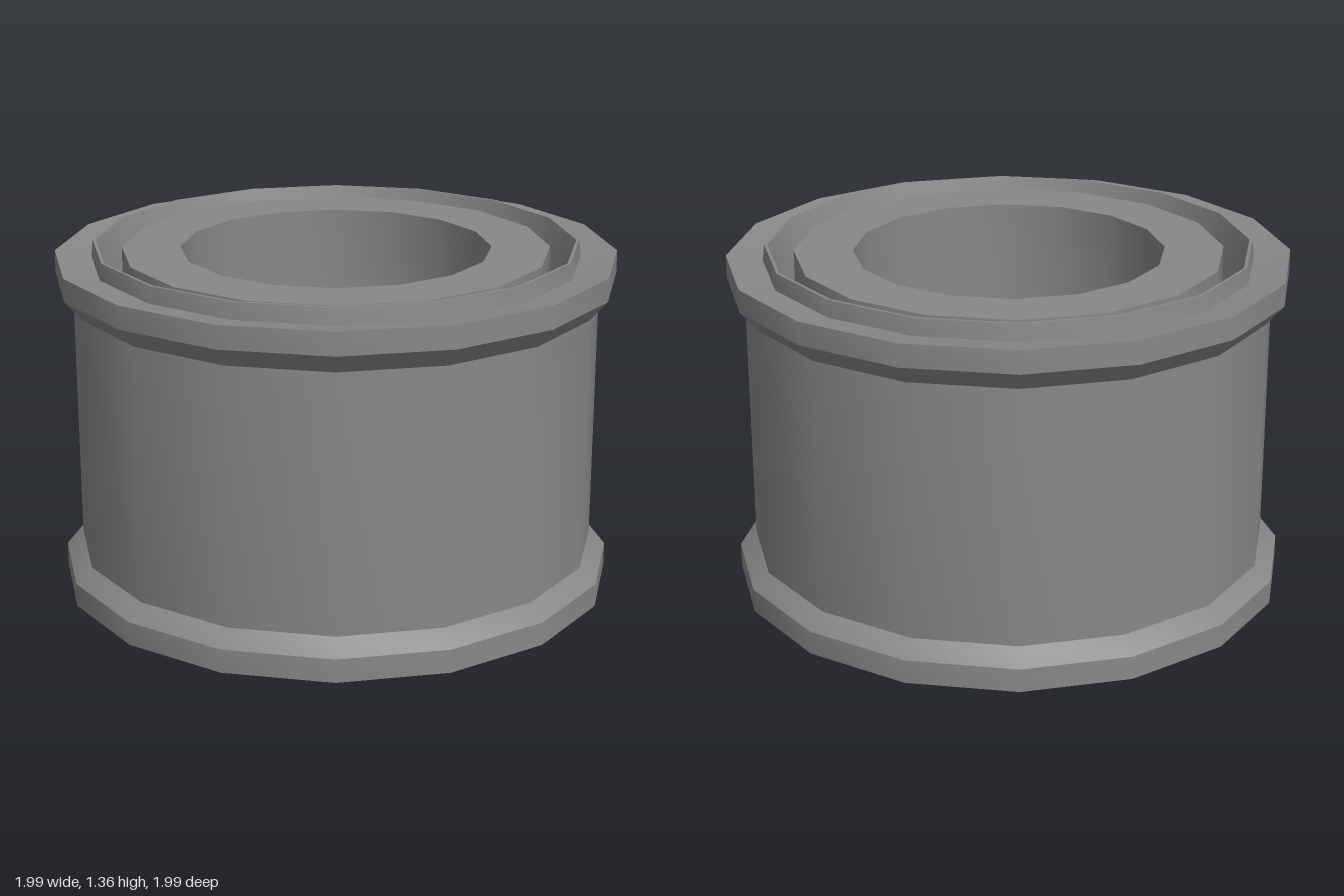
import * as THREE from 'three';
import { toCreasedNormals } from 'three/addons/utils/BufferGeometryUtils.js';

const SIDES = 16;
const START = THREE.MathUtils.degToRad(15);

// Revolves a closed [radius, height] profile, listed counter-clockwise, into a creased solid.
function ring(name, profile, material) {
  const points = [...profile, profile[0]].map(([r, y]) => new THREE.Vector2(r, y));
  const lathe = new THREE.LatheGeometry(points, SIDES, START);
  const mesh = new THREE.Mesh(toCreasedNormals(lathe, 0.45), material);
  mesh.name = name;
  return mesh;
}

export function createModel() {
  const group = new THREE.Group();
  group.name = 'flangedRoller';
  const grey = new THREE.MeshStandardMaterial({ color: 0x888888 });

  // Outer drum with a flange at each end and a funnel-shaped mouth
  group.add(ring('flangedDrum', [
    [0.87, 0.18], [1.005, 0.11],                // dished underside of lower flange
    [1.005, 0.195], [0.945, 0.25],              // lower rim and bevel
    [0.945, 1.172], [1.005, 1.243],             // drum wall, upper bevel
    [1.005, 1.325], [0.875, 1.305],             // upper rim, dished top
    [0.868, 1.364], [0.857, 1.364],             // raised lip
    [0.783, 1.1], [0.783, 0.42],                // upper funnel and inner wall
  ], grey));

  // Inner hub with a flared foot, a stepped bore and a thin web halfway
  group.add(ring('hub', [
    [0.585, 0], [0.728, 0],                     // lower end face
    [0.785, 0.19], [0.765, 0.19],               // flared foot and its ledge
    [0.765, 1.34], [0.555, 1.34],               // outer wall, upper end face
    [0.555, 0.82], [0.317, 0.82],               // upper bore and web top
    [0.317, 0.68], [0.555, 0.68],               // axle hole and web underside
    [0.555, 0.1],                               // lower bore
  ], grey));

  return group;
}
